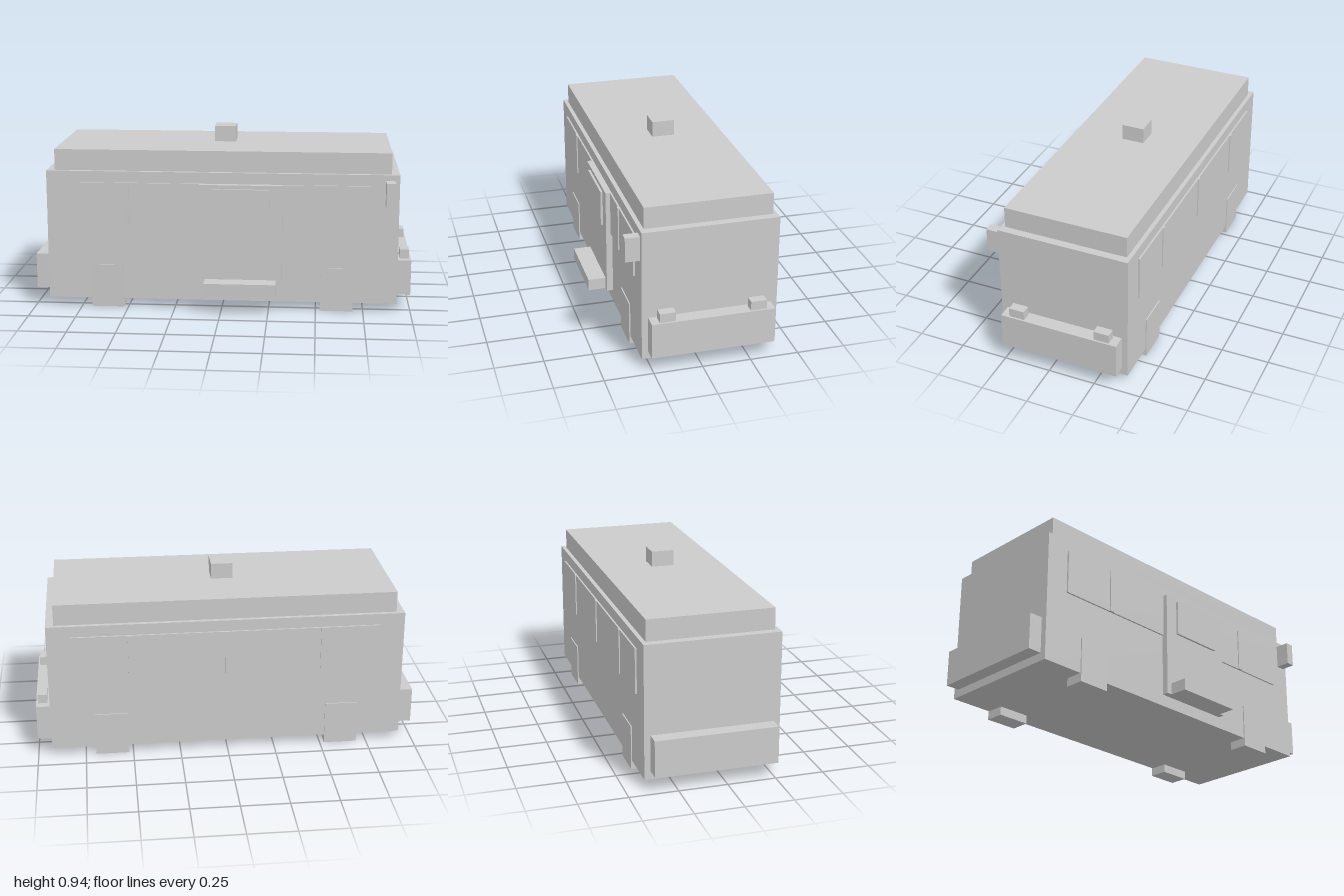
import * as THREE from 'three';

const material = new THREE.MeshStandardMaterial({ color: 0xcccccc, flatShading: true });

export function createModel() {
  const model = new THREE.Group();
  model.name = 'camperVan';

  // Box given by its extents along each axis
  const block = (name, [x0, x1], [y0, y1], [z0, z1]) => {
    const mesh = new THREE.Mesh(new THREE.BoxGeometry(x1 - x0, y1 - y0, z1 - z0), material);
    mesh.position.set((x0 + x1) / 2, (y0 + y1) / 2, (z0 + z1) / 2);
    mesh.name = name;
    model.add(mesh);
  };

  // The body sits slightly behind centre because the step sticks out in front
  const midZ = -0.055, front = 0.292;

  // Main shell and roof
  block('body', [-0.927, 0.927], [0.045, 0.737], [-0.402, front]);
  block('roof', [-0.885, 0.885], [0.737, 0.848], [-0.38, 0.27]);
  block('roofVent', [-0.057, 0.057], [0.855, 0.938], [-0.115, 0.005]);

  // Window bands with thin mullions, and wheels, on both long sides
  for (const s of [1, -1]) {
    const span = (near, far) => [midZ + s * near, midZ + s * far].sort((a, b) => a - b);
    block('windowBand', [-0.8, 0.8], [0.445, 0.678], span(0.33, 0.356));
    for (const x of [-0.5, 0, 0.5])
      block('windowMullion', [x - 0.0125, x + 0.0125], [0.445, 0.678], span(0.33, 0.362));
    for (const x of [-0.61, 0.61])
      block('wheel', [x - 0.087, x + 0.087], [0, 0.232], span(0.253, 0.353));
  }

  // Bumpers on both ends
  block('frontBumper', [0.925, 1], [0.087, 0.275], [-0.37, 0.26]);
  block('rearBumper', [-1, -0.925], [0.087, 0.275], [-0.37, 0.26]);

  // Lamps standing on one bumper
  for (const z of [0.177, -0.287])
    block('headlamp', [0.941, 0.99], [0.26, 0.323], [z - 0.041, z + 0.041]);

  // Entrance: door, its window and the step below
  block('door', [-0.117, 0.32], [0.108, 0.678], [front - 0.02, 0.325]);
  block('doorWindow', [-0.043, 0.252], [0.467, 0.657], [0.31, 0.337]);
  block('doorStep', [-0.087, 0.29], [0.108, 0.17], [0.31, 0.418]);

  // Single side mirror
  block('sideMirror', [0.855, 0.903], [0.58, 0.707], [front - 0.01, 0.367]);

  return model;
}
